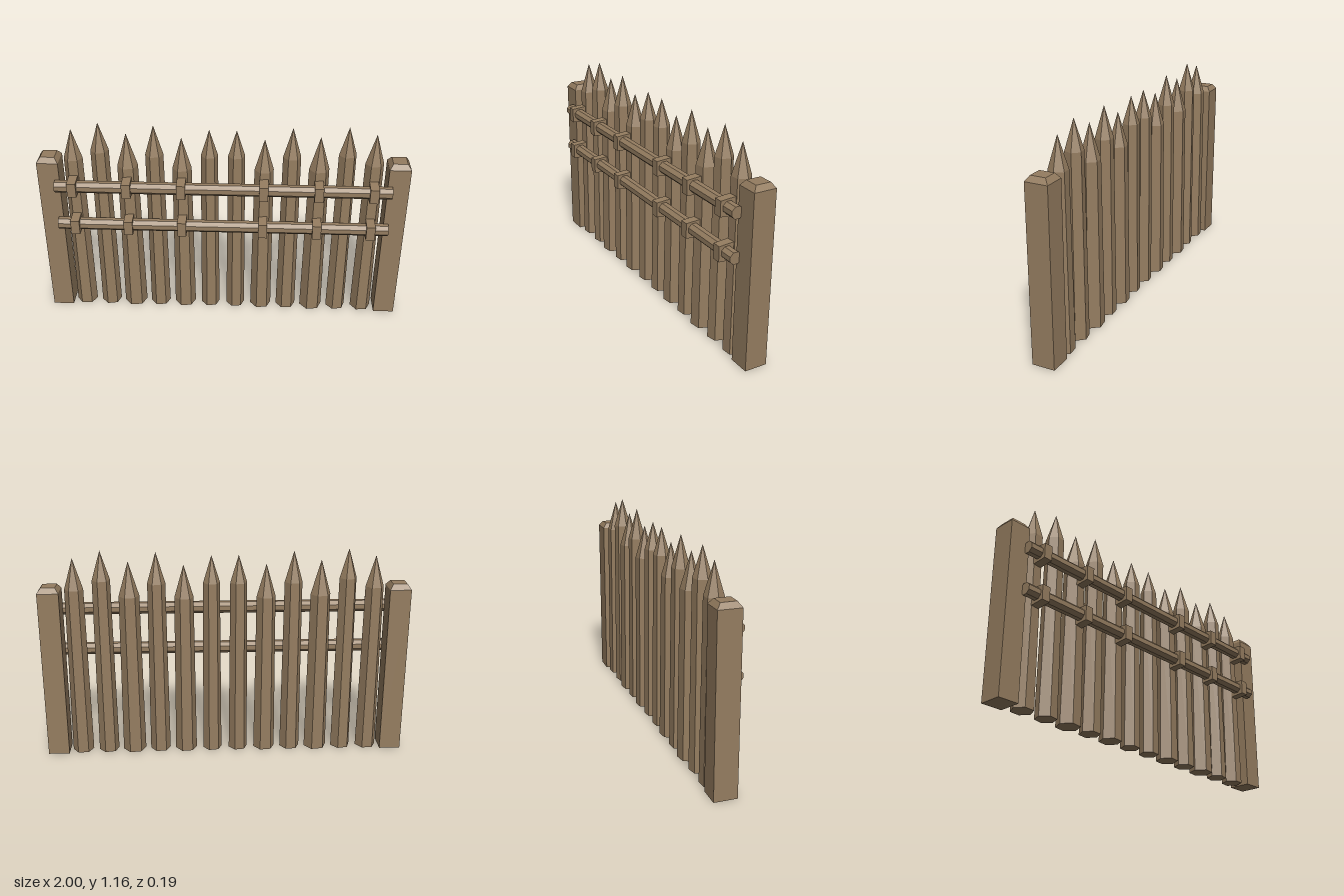
import * as THREE from 'three';

const wood = new THREE.MeshStandardMaterial({ color: 0x957d60, flatShading: true });
wood.name = 'weathered wood';

function part(name, geometry, parent) {
  const flat = geometry.index ? geometry.toNonIndexed() : geometry;
  flat.computeVertexNormals();
  const mesh = new THREE.Mesh(flat, wood);
  mesh.name = name;
  parent.add(mesh);
  return mesh;
}

// Box whose far end along one axis ('y' or 'z') is scaled to kx, ko
function taperedBox(w, h, d, axis, kx, ko) {
  const g = new THREE.BoxGeometry(w, h, d);
  const p = g.attributes.position;
  for (let i = 0; i < p.count; i++) {
    if (axis === 'y' && p.getY(i) > 0) {
      p.setX(i, p.getX(i) * kx);
      p.setZ(i, p.getZ(i) * ko);
    } else if (axis === 'z' && p.getZ(i) > 0) {
      p.setX(i, p.getX(i) * kx);
      p.setY(i, p.getY(i) * ko);
    }
  }
  return g;
}

// Six-sided sharpened stake, standing on y = 0
function stakeGeometry(radius, shoulder, tip, turn) {
  const profile = [[0, 0], [radius, 0], [radius * 0.87, shoulder], [0, tip]]
    .map(([r, y]) => new THREE.Vector2(r, y));
  return new THREE.LatheGeometry(profile, 6, Math.PI / 6 + turn);
}

export function createModel() {
  const fence = new THREE.Group();
  fence.name = 'palisadeFence';

  // Square end posts with chamfered caps
  for (const side of [-1, 1]) {
    const post = new THREE.Group();
    post.name = side > 0 ? 'leftPost' : 'rightPost';
    post.position.set(side * 0.942, 0, -0.029);
    part('postShaft', new THREE.BoxGeometry(0.116, 0.942, 0.124), post).position.y = 0.471;
    part('postCap', taperedBox(0.116, 0.028, 0.124, 'y', 0.66, 0.66), post).position.y = 0.956;
    fence.add(post);
  }

  // Stakes: x, radius, shoulder height, tip height, turn (mirrored across the middle)
  const stakes = [
    [0.81, 0.058, 0.95, 1.12, 0.08],
    [0.663, 0.056, 1.0, 1.16, 0.2],
    [0.517, 0.064, 0.91, 1.1, 0.15],
    [0.369, 0.056, 0.98, 1.15, 0.1],
    [0.222, 0.06, 0.9, 1.08, 0.12],
    [0.073, 0.053, 0.98, 1.13, 0.16],
  ];
  for (const side of [-1, 1]) {
    for (const [x, radius, shoulder, tip, turn] of stakes) {
      part('stake', stakeGeometry(radius, shoulder, tip, turn), fence)
        .position.set(side * x, 0, -0.03);
    }
  }

  // Octagonal cross rails with straps around them
  for (const y of [0.816, 0.582]) {
    const rail = new THREE.CylinderGeometry(0.034, 0.034, 1.815, 8, 1, false, Math.PI / 8);
    rail.rotateZ(Math.PI / 2);
    part('rail', rail, fence).position.set(0, y, 0.053);
    for (const x of [0.81, 0.517, 0.222]) {
      for (const side of [-1, 1]) {
        part('strap', taperedBox(0.048, 0.096, 0.088, 'z', 1, 0.86), fence)
          .position.set(side * x, y - 0.002, 0.054);
      }
    }
  }
  return fence;
}
